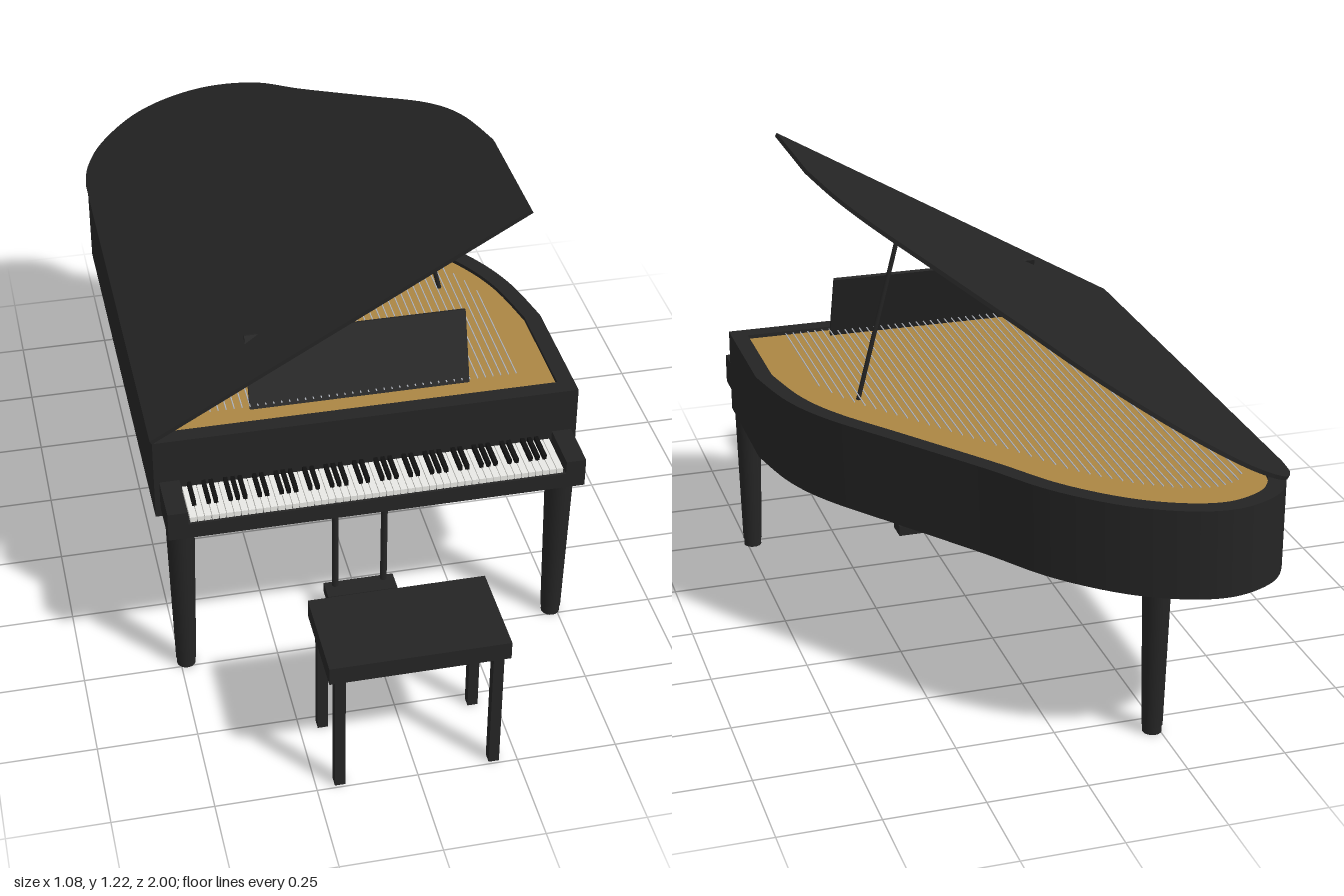
import * as THREE from 'three';
import { mergeGeometries, toCreasedNormals } from 'three/addons/utils/BufferGeometryUtils.js';

const material = (name, color) => {
  const m = new THREE.MeshStandardMaterial({ color });
  m.name = name;
  return m;
};

export function createModel() {
  const black = material('black lacquer', 0x242424);
  const ebony = material('ebony', 0x111111);
  const ivory = material('ivory', 0xeeeeea);
  const gold = material('gold', 0xaa8543);
  const steel = material('string steel', 0xb8bcc4);

  const model = new THREE.Group();
  model.name = 'grandPiano';

  const add = (name, geometry, mat, parent = model) => {
    const mesh = new THREE.Mesh(geometry, mat);
    mesh.name = name;
    parent.add(mesh);
    return mesh;
  };
  // Box given by its extents along each axis
  const box = (x0, x1, y0, y1, z0, z1) =>
    new THREE.BoxGeometry(x1 - x0, y1 - y0, z1 - z0)
      .translate((x0 + x1) / 2, (y0 + y1) / 2, (z0 + z1) / 2);
  // Thin round bar between two points
  const bar = (a, b, radius, sides) => {
    const dir = b.clone().sub(a);
    const turn = new THREE.Quaternion().setFromUnitVectors(
      new THREE.Vector3(0, 1, 0), dir.clone().normalize());
    const mid = a.clone().add(b).multiplyScalar(0.5);
    return new THREE.CylinderGeometry(radius, radius, dir.length(), sides)
      .applyQuaternion(turn).translate(mid.x, mid.y, mid.z);
  };

  // Plan outline as (x, -z), running counter-clockwise
  const curve = new THREE.SplineCurve([
    [0.537, -0.09], [0.497, 0.08], [0.43, 0.22], [0.3, 0.4], [0.14, 0.62],
    [0.03, 0.78], [-0.1, 0.905], [-0.23, 0.978], [-0.35, 1.0],
    [-0.46, 0.96], [-0.518, 0.885], [-0.538, 0.8],
  ].map(([x, y]) => new THREE.Vector2(x, y)));
  const outline = [
    new THREE.Vector2(0.538, -0.432),
    ...curve.getPoints(88),
    new THREE.Vector2(-0.538, -0.432),
  ];
  // Move every corner inward by a fixed distance
  const inset = (points, d) => points.map((p, i) => {
    const n = points.length;
    const normal = (a, b) => {
      const e = b.clone().sub(a).normalize();
      return new THREE.Vector2(-e.y, e.x);
    };
    const n1 = normal(points[(i + n - 1) % n], p);
    const n2 = normal(p, points[(i + 1) % n]);
    return n1.clone().add(n2).multiplyScalar(d / (1 + n1.dot(n2))).add(p);
  });
  const slab = (points, y0, y1, hole) => {
    const shape = new THREE.Shape(points);
    if (hole) shape.holes.push(new THREE.Path(hole));
    const g = new THREE.ExtrudeGeometry(shape, { depth: y1 - y0, bevelEnabled: false });
    return toCreasedNormals(g.rotateX(-Math.PI / 2).translate(0, y0, 0), 0.5);
  };

  // Case: rim, bottom board and gilded plate
  const inner = inset(outline, 0.043);
  add('rim', slab(outline, 0.445, 0.67, inner), black);
  add('bottomBoard', slab(inner, 0.445, 0.46), black);
  add('plate', slab(inner, 0.645, 0.66), gold);

  // Strings, each stopping short of the curved side
  const limit = inset(outline, 0.105);
  const strings = [];
  for (let x = -0.42; x < 0.41; x += 0.02) {
    let far = -1;
    for (let i = 1; i < limit.length; i++) {
      const a = limit[i - 1], b = limit[i];
      if ((a.x - x) * (b.x - x) <= 0 && a.x !== b.x) {
        far = Math.max(far, a.y + (b.y - a.y) * (x - a.x) / (b.x - a.x));
      }
    }
    strings.push(bar(new THREE.Vector3(x, 0.681, 0.345),
      new THREE.Vector3(x, 0.681, -far), 0.0018, 5));
  }
  add('strings', mergeGeometries(strings), steel);

  // Lid hinged on the straight side, with its prop
  const lid = add('lid', slab(outline, 0, 0.01).translate(0.538, 0, 0), black);
  lid.position.set(-0.538, 0.669, 0);
  lid.rotation.z = Math.PI / 6;
  add('lidProp', bar(new THREE.Vector3(0.315, 0.66, -0.105),
    new THREE.Vector3(0.203, 1.098, -0.105), 0.006, 8), black);

  // Music desk leaning back
  const desk = add('musicDesk', box(-0.28, 0.28, 0, 0.19, -0.005, 0.005), black);
  desk.position.set(0, 0.668, 0.338);
  desk.rotation.x = -0.33;

  // Keyboard
  add('keybed', box(-0.525, 0.525, 0.472, 0.514, 0.425, 0.563), black);
  for (const s of [-1, 1]) {
    add('keyCheek', box(-0.025, 0.025, 0.472, 0.55, 0.425, 0.563).translate(s * 0.5, 0, 0), black);
  }
  const whites = [], blacks = [];
  const pitch = 0.94 / 52;
  for (let i = 0; i < 52; i++) {
    const x = -0.47 + i * pitch;
    whites.push(box(x + 0.0009, x + pitch - 0.0009, 0.512, 0.528, 0.43, 0.556));
    if ([0, 2, 3, 5, 6].includes(i % 7) && i < 51) {
      blacks.push(box(x + pitch - 0.005, x + pitch + 0.005, 0.526, 0.541, 0.43, 0.512));
    }
  }
  add('whiteKeys', mergeGeometries(whites), ivory);
  add('blackKeys', mergeGeometries(blacks), ebony);

  // Tapered legs with small feet
  for (const [x, z] of [[-0.485, 0.482], [0.485, 0.482], [-0.232, -0.808]]) {
    const leg = new THREE.Group();
    leg.name = 'leg';
    leg.position.set(x, 0, z);
    add('legPost', new THREE.CylinderGeometry(0.036, 0.026, 0.427, 20).translate(0, 0.2335, 0), black, leg);
    add('legFoot', new THREE.CylinderGeometry(0.024, 0.024, 0.02, 20).translate(0, 0.01, 0), black, leg);
    model.add(leg);
  }

  // Pedal lyre
  for (const s of [-1, 1]) {
    add('lyrePost', new THREE.CylinderGeometry(0.009, 0.009, 0.385, 12)
      .translate(s * 0.065, 0.2575, 0.345), black);
  }
  add('pedalBox', box(-0.093, 0.093, 0.037, 0.067, 0.332, 0.39), black);
  for (const x of [-0.043, 0, 0.043]) {
    add('pedal', box(x - 0.01, x + 0.01, 0.048, 0.055, 0.38, 0.45), gold);
  }

  // Bench
  const bench = new THREE.Group();
  bench.name = 'bench';
  model.add(bench);
  add('benchSeat', box(-0.22, 0.22, 0.338, 0.386, 0.752, 1.0), black, bench);
  for (const x of [-0.192, 0.192]) {
    for (const z of [0.778, 0.98]) {
      add('benchLeg', box(x - 0.013, x + 0.013, 0, 0.34, z - 0.013, z + 0.013), black, bench);
    }
  }
  return model;
}
